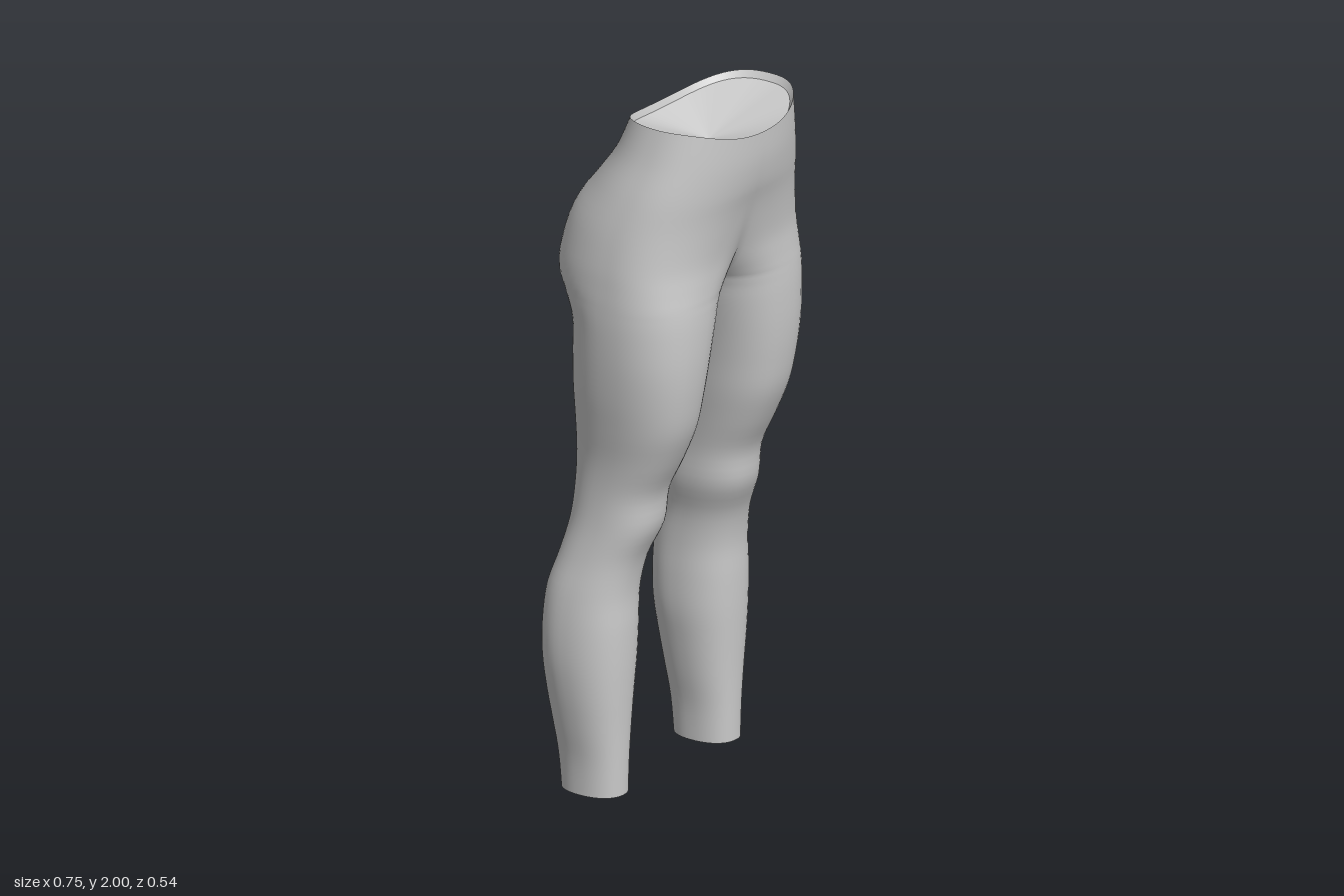
import * as THREE from 'three';
import { mergeVertices } from 'three/addons/utils/BufferGeometryUtils.js';

// Sections of the +x half: height, inner x, outer x, front z, back z, z of widest point.
// A negative inner x means the section runs through the middle and is cut at x = 0.
const SECTIONS = [
  [0.00, 0.185, 0.330, -0.020, -0.215, -0.12],
  [0.10, 0.180, 0.335, -0.018, -0.225, -0.12],
  [0.20, 0.165, 0.350, -0.015, -0.240, -0.13],
  [0.30, 0.150, 0.365, -0.010, -0.255, -0.14],
  [0.40, 0.135, 0.375, -0.005, -0.265, -0.15],
  [0.50, 0.130, 0.375, -0.002, -0.265, -0.15],
  [0.60, 0.130, 0.365, 0.000, -0.255, -0.14],
  [0.70, 0.125, 0.345, 0.020, -0.225, -0.11],
  [0.80, 0.103, 0.330, 0.063, -0.202, -0.08],
  [0.90, 0.100, 0.325, 0.077, -0.190, -0.06],
  [1.00, 0.090, 0.330, 0.125, -0.187, -0.03],
  [1.10, 0.077, 0.345, 0.167, -0.188, -0.01],
  [1.20, 0.065, 0.360, 0.188, -0.190, 0.00],
  [1.30, 0.048, 0.370, 0.200, -0.190, 0.01],
  [1.40, 0.023, 0.375, 0.205, -0.192, 0.01],
  [1.47, 0.000, 0.375, 0.205, -0.222, 0.01],
  [1.53, -0.050, 0.372, 0.204, -0.261, 0.01],
  [1.60, -0.120, 0.366, 0.207, -0.268, 0.01],
  [1.70, -0.210, 0.350, 0.226, -0.250, 0.02],
  [1.80, -0.290, 0.325, 0.252, -0.195, 0.05],
  [1.90, -0.290, 0.292, 0.267, -0.135, 0.08],
  [2.00, -0.265, 0.265, 0.272, -0.096, 0.10],
];
const STEPS = 4, AROUND = 48, POWER = 2.25;

// Smooth interpolation between the sections
function sectionAt(t) {
  const last = SECTIONS.length - 1;
  const i = Math.min(Math.floor(t), last - 1), f = t - i;
  const at = k => SECTIONS[Math.max(0, Math.min(last, k))];
  return at(i).map((p1, c) => {
    const p0 = at(i - 1)[c], p2 = at(i + 1)[c], p3 = at(i + 2)[c];
    return p1 + 0.5 * f * (p2 - p0 + f * (2 * p0 - 5 * p1 + 4 * p2 - p3 + f * (3 * (p1 - p2) + p3 - p0)));
  });
}

// One ring of points, from the back middle round the outside to the front middle
function ring(t) {
  const [y, x0, x1, zf, zb, cz] = sectionAt(t);
  const cx = (x0 + x1) / 2, hx = (x1 - x0) / 2;
  const open = x0 < -1e-6;
  const reach = open ? Math.acos(-Math.sign(cx) * Math.pow(Math.min(1, Math.abs(cx) / hx), POWER / 2)) : Math.PI;
  const bend = v => Math.sign(v) * Math.pow(Math.abs(v), 2 / POWER);
  const lift = Math.max(0, (y - 1.75) / 0.25);
  const points = [];
  for (let j = 0; j <= AROUND; j++) {
    const a = reach * (2 * j / AROUND - 1);
    const c = Math.cos(a), s = Math.abs(j - AROUND / 2) === AROUND / 2 && !open ? 0 : Math.sin(a);
    let x = cx + hx * bend(c);
    if (open && (j === 0 || j === AROUND)) x = 0;
    // the waistline dips at the front and back
    points.push(new THREE.Vector3(x, y - 0.046 * lift * Math.abs(s) ** 3, cz + (s > 0 ? zf - cz : cz - zb) * bend(s)));
  }
  return points;
}

const mirrored = p => new THREE.Vector3(-p.x, p.y, p.z);

function geometryFrom(triangles, smooth) {
  let g = new THREE.BufferGeometry().setFromPoints(triangles);
  if (smooth) g = mergeVertices(g, 1e-5);
  g.computeVertexNormals();
  return g;
}

// Strip of quads between two equally long lines of points
function strip(out, low, high, flip) {
  for (let j = 0; j < low.length - 1; j++) {
    const [a, b, c, d] = [low[j], high[j], high[j + 1], low[j + 1]];
    if (flip) out.push(a, c, b, a, d, c);
    else out.push(a, b, c, a, c, d);
  }
}

function fan(line, center) {
  const out = [];
  for (let j = 0; j < line.length - 1; j++) out.push(line[j], line[j + 1], center);
  return out;
}

export function createModel() {
  const group = new THREE.Group();
  const cloth = new THREE.MeshStandardMaterial({ color: 0xcccccc, side: THREE.DoubleSide });
  const capCloth = new THREE.MeshStandardMaterial({ color: 0xcccccc, side: THREE.DoubleSide, flatShading: true });
  const add = (name, geometry, material) => {
    const mesh = new THREE.Mesh(geometry, material);
    mesh.name = name;
    group.add(mesh);
  };

  // Legs and hips in one skin, mirrored and joined down the middle
  const rings = [];
  const count = (SECTIONS.length - 1) * STEPS;
  for (let i = 0; i <= count; i++) rings.push(ring(i / STEPS));
  const skin = [];
  for (let i = 0; i < count; i++) {
    strip(skin, rings[i], rings[i + 1], false);
    strip(skin, rings[i].map(mirrored), rings[i + 1].map(mirrored), true);
  }
  add('leggings', geometryFrom(skin, true), cloth);

  // Turned-in waist edge and the sunken lining below it
  const top = rings[count];
  const rim = [...top, ...top.map(mirrored).reverse()];
  const center = new THREE.Vector3(0, 1.885, 0.08);
  const inner = rim.map(p => new THREE.Vector3(p.x * 0.95, p.y - 0.02, center.z + (p.z - center.z) * 0.96));
  const edge = [];
  strip(edge, rim, inner, false);
  add('waistEdge', geometryFrom(edge, true), cloth);
  add('waistLining', geometryFrom(fan(inner.reverse(), center), false), capCloth);

  // Ankle closures, slightly hollow
  const ankle = new THREE.Vector3(0.257, 0.025, -0.12);
  add('leftAnkleCap', geometryFrom(fan(rings[0], ankle), false), capCloth);
  add('rightAnkleCap', geometryFrom(fan(rings[0].map(mirrored).reverse(), mirrored(ankle)), false), capCloth);
  return group;
}
